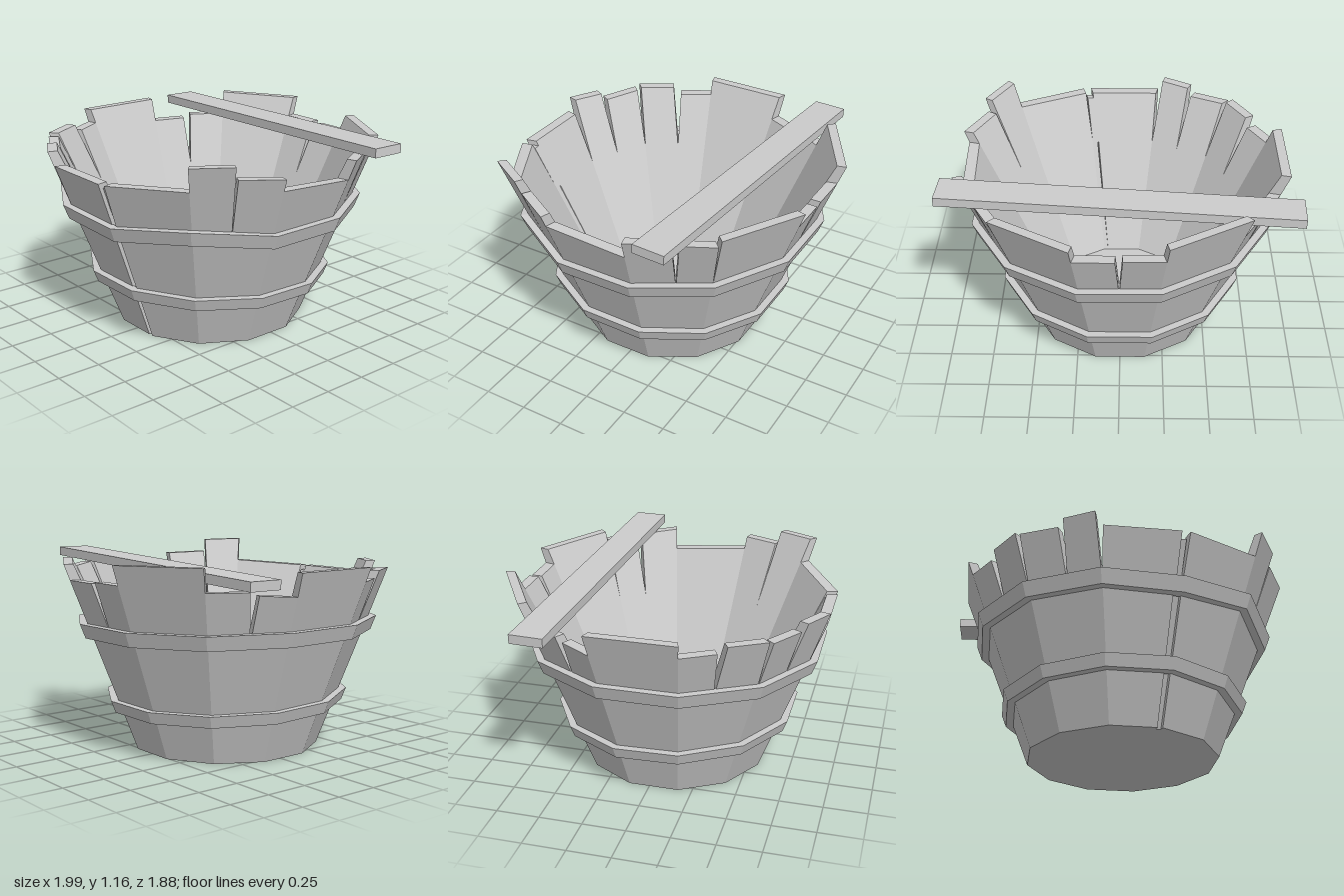
import * as THREE from 'three';

const SIDES = 12, STEP = (Math.PI * 2) / SIDES, TAN = Math.tan(STEP / 2);
const CENTRE_Z = 0.025, SPLIT = 0.71, FLOOR = 0.06;
const wood = new THREE.MeshStandardMaterial({ color: 0xcccccc, flatShading: true });

// Distance of the flat sides from the axis at height y
const outer = (y) => 0.537 + 0.37 * y;
const inner = (y) => 0.395 + 0.45 * y;

// Point on side k (0 = front, counting towards +x), t = 0..1 across the side
function onSide(k, t, y, r) {
  const a = k * STEP, s = (2 * t - 1) * r * TAN;
  return [r * Math.sin(a) + s * Math.cos(a), y, r * Math.cos(a) - s * Math.sin(a)];
}

// Box whose corners are moved by a rule: u across, v up, w outwards
function block(name, rule) {
  const g = new THREE.BoxGeometry(1, 1, 1), p = g.attributes.position;
  for (let i = 0; i < p.count; i++) {
    p.setXYZ(i, ...rule(p.getX(i) + 0.5, p.getY(i) + 0.5, p.getZ(i) + 0.5));
  }
  g.computeVertexNormals();
  const mesh = new THREE.Mesh(g, wood);
  mesh.name = name;
  return mesh;
}

const mix = THREE.MathUtils.lerp;

// Piece of stave: bottom span b0..b1 at y0, top span t0..t1 with heights h0, h1
function stave(name, k, y0, b0, b1, t0, t1, h0, h1, inset = 0) {
  return block(name, (u, v, w) => {
    const y = v ? mix(h0, h1, u) : y0;
    const t = v ? mix(t0, t1, u) : mix(b0, b1, u);
    return onSide(k, t, y, w ? outer(y) - inset : inner(y));
  });
}

// Broken upper ends: [side, bottom span, top span, heights]
const tops = [
  [0, 0, 0.92, 0.03, 0.92, 1.0, 1.0],
  [1, 0, 1, 0.02, 1, 1.0, 1.02],
  [2, 0, 0.48, 0, 0.47, 1.16, 1.155],
  [2, 0.48, 1, 0.5, 1, 1.08, 1.07],
  [3, 0, 1, 0, 1, 1.0, 0.965],
  [4, 0, 0.55, 0, 0.5, 1.08, 1.07],
  [4, 0.55, 1, 0.58, 0.98, 1.06, 1.05],
  [5, 0, 1, 0, 1, 1.1, 1.1],
  [6, 0, 0.5, 0, 0.46, 1.01, 1.01],
  [6, 0.5, 1, 0.54, 1, 1.02, 1.02],
  [7, 0, 1, 0, 1, 1.13, 1.13],
  [8, 0, 0.52, 0, 0.48, 1.0, 1.0],
  [8, 0.52, 1, 0.58, 1, 0.98, 0.97],
  [9, 0, 1, 0, 1, 1.1, 1.1],
  [10, 0, 0.45, 0, 0.42, 1.02, 1.02],
  [10, 0.45, 1, 0.52, 0.97, 1.06, 1.06],
  [11, 0, 0.53, 0.03, 0.5, 1.045, 1.035],
  [11, 0.53, 1, 0.57, 0.95, 1.075, 1.075],
];

// Hoop: height of its top edge at each corner between the sides
function hoop(name, height, edge) {
  const g = new THREE.Group();
  g.name = name;
  for (let k = 0; k < SIDES; k++) {
    g.add(block(name + 'Segment', (u, v, w) => {
      const y = edge((k + u) % SIDES) - (v ? 0 : height);
      return onSide(k, u, y, outer(y) + (w ? 0.043 : -0.01));
    }));
  }
  return g;
}

export function createModel() {
  const model = new THREE.Group();
  model.name = 'brokenTub';
  const tub = new THREE.Group();
  tub.name = 'tub';
  tub.position.z = CENTRE_Z;
  model.add(tub);

  // Whole lower wall; the front side has a shallow groove along one edge
  for (let k = 0; k < SIDES; k++) {
    const end = k === 0 ? 0.9 : 1;
    tub.add(stave('lowerStave', k, 0, 0, end, 0, end, SPLIT, SPLIT));
  }
  tub.add(stave('grooveStrip', 0, 0, 0.9, 1, 0.92, 1, 0.97, 0.97, 0.025));

  // Broken upper wall
  for (const [k, b0, b1, t0, t1, h0, h1] of tops) {
    tub.add(stave('upperStave', k, SPLIT, b0, b1, t0, t1, h0, h1));
  }

  // Floor
  const c = Math.cos(STEP / 2);
  const floor = new THREE.Mesh(
    new THREE.CylinderGeometry(inner(FLOOR) / c, inner(0) / c, FLOOR, SIDES, 1, false, STEP / 2), wood);
  floor.name = 'floor';
  floor.position.y = FLOOR / 2;
  tub.add(floor);

  // Hoops, the upper one bent, the lower one tilted to the back
  const bends = [0.765, 0.75, 0.79, 0.74, 0.742, 0.75, 0.76, 0.765, 0.77, 0.78, 0.78, 0.775];
  tub.add(hoop('upperHoop', 0.083, (i) => bends[i]));
  tub.add(hoop('lowerHoop', 0.07, (i) => 0.322 + 0.022 * Math.cos((i - 0.5) * STEP)));

  // Loose plank lying across the rim
  const plank = new THREE.Mesh(new THREE.BoxGeometry(1.98, 0.052, 0.19), wood);
  plank.name = 'plank';
  plank.position.set(0, 1.085, -0.465);
  plank.rotation.set(0, -0.051, 0.028, 'YZX');
  model.add(plank);

  return model;
}
